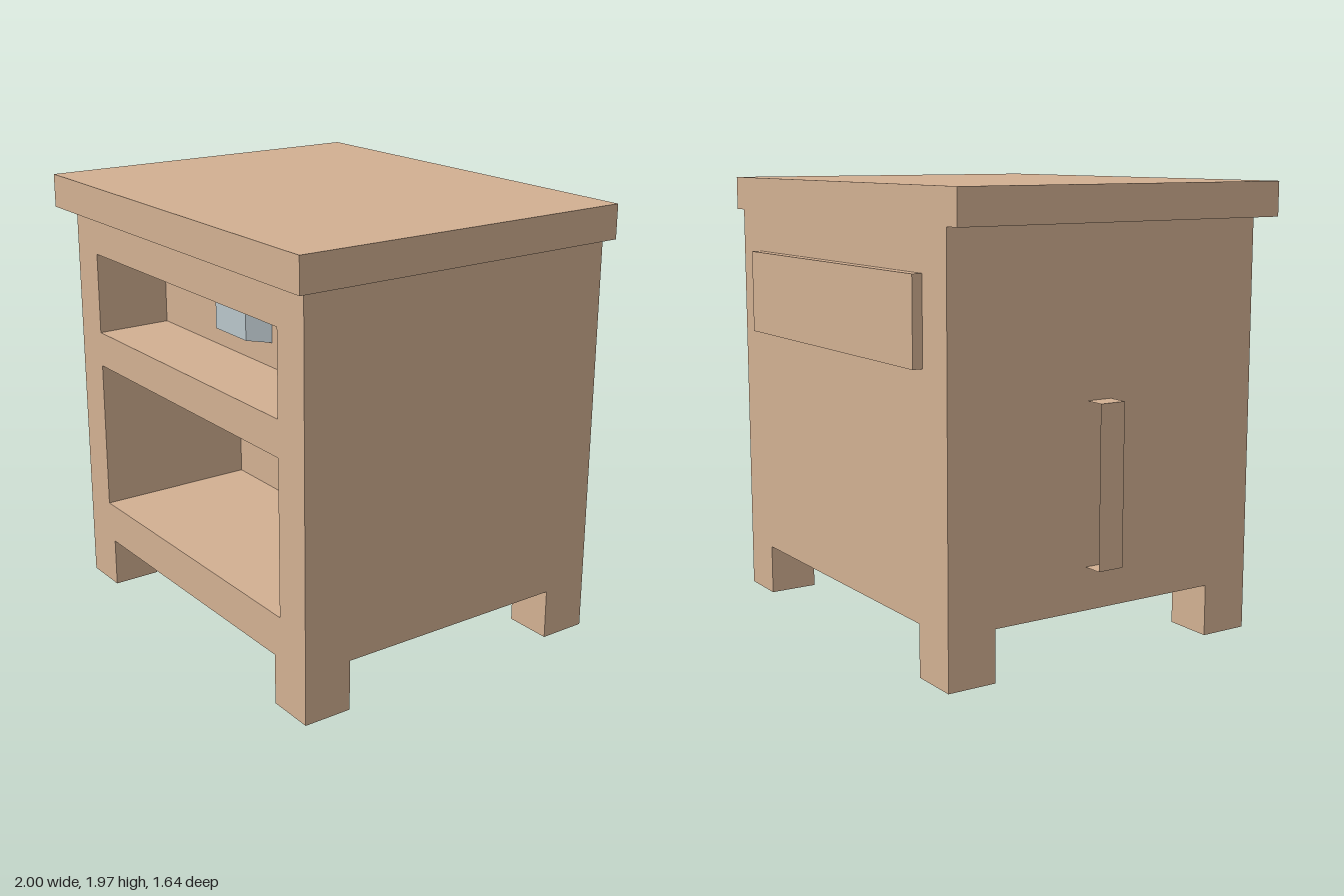
import * as THREE from 'three';

const wood = new THREE.MeshStandardMaterial({ color: 0xd3b193 });
const woodThin = new THREE.MeshStandardMaterial({ color: 0xd3b193, side: THREE.DoubleSide });
const metal = new THREE.MeshStandardMaterial({ color: 0xbac6cb });

// Box given by its minimum and maximum corners
function box(name, [x0, y0, z0], [x1, y1, z1], material = wood) {
  const geo = new THREE.BoxGeometry(x1 - x0, y1 - y0, z1 - z0);
  geo.translate((x0 + x1) / 2, (y0 + y1) / 2, (z0 + z1) / 2);
  const mesh = new THREE.Mesh(geo, material);
  mesh.name = name;
  return mesh;
}

function rect(Type, x0, y0, x1, y1) {
  return new Type([[x0, y0], [x1, y0], [x1, y1], [x0, y1]].map(p => new THREE.Vector2(...p)));
}

// Block whose front face is inset by different amounts across and up
function handle(name, min, max, insetX, insetY) {
  const mesh = box(name, min, max, metal);
  const cx = (min[0] + max[0]) / 2, cy = (min[1] + max[1]) / 2;
  const p = mesh.geometry.attributes.position;
  for (let i = 0; i < p.count; i++) {
    if (p.getZ(i) < max[2] - 0.01) continue;
    p.setX(i, p.getX(i) - Math.sign(p.getX(i) - cx) * insetX);
    p.setY(i, p.getY(i) - Math.sign(p.getY(i) - cy) * insetY);
  }
  mesh.geometry.computeVertexNormals();
  return mesh;
}

export function createModel() {
  const model = new THREE.Group();
  model.name = 'nightstand';
  const L = -0.91, R = 0.92, front = 0.75, back = -0.78, inner = -0.6;

  // Carcass with a drawer opening and a cupboard opening
  const face = rect(THREE.Shape, L, 0.225, R, 1.815);
  face.holes.push(rect(THREE.Path, -0.73, 1.26, 0.74, 1.63));
  face.holes.push(rect(THREE.Path, -0.73, 0.41, 0.74, 1.1));
  const carcassGeo = new THREE.ExtrudeGeometry(face, { depth: front - inner, bevelEnabled: false });
  carcassGeo.translate(0, 0, inner);
  const carcass = new THREE.Mesh(carcassGeo, wood);
  carcass.name = 'carcass';
  model.add(carcass);
  model.add(box('backPanel', [L, 0.225, back], [R, 1.815, inner]));

  // Table top, flush at the back
  model.add(box('tableTop', [-0.985, 1.815, back], [0.995, 1.965, 0.82]));

  // Four square legs
  for (const x of [L, 0.7])
    for (const z of [0.53, back])
      model.add(box('leg', [x, 0, z], [x + 0.22, 0.225, z + 0.22]));

  // Drawer, pushed through the back
  const drawer = new THREE.Group();
  drawer.name = 'drawer';
  drawer.add(box('drawerBody', [-0.73, 1.26, -0.825], [0.74, 1.63, 0.4]));
  drawer.add(handle('drawerHandle', [-0.165, 1.37, 0.4], [0.175, 1.52, 0.5], 0.05, 0.014));
  model.add(drawer);

  // Cupboard door, slid through the side and open at the back
  const door = new THREE.Group();
  door.name = 'door';
  const panel = box('doorPanel', [-1, 0.41, -0.12], [0.465, 1.1, 0], woodThin);
  panel.geometry.setIndex(Array.from(panel.geometry.index.array).slice(0, 30));
  panel.geometry.clearGroups();
  door.add(panel);
  door.add(handle('doorHandle', [0.16, 0.595, 0], [0.315, 0.935, 0.1], 0.014, 0.048));
  model.add(door);

  return model;
}
